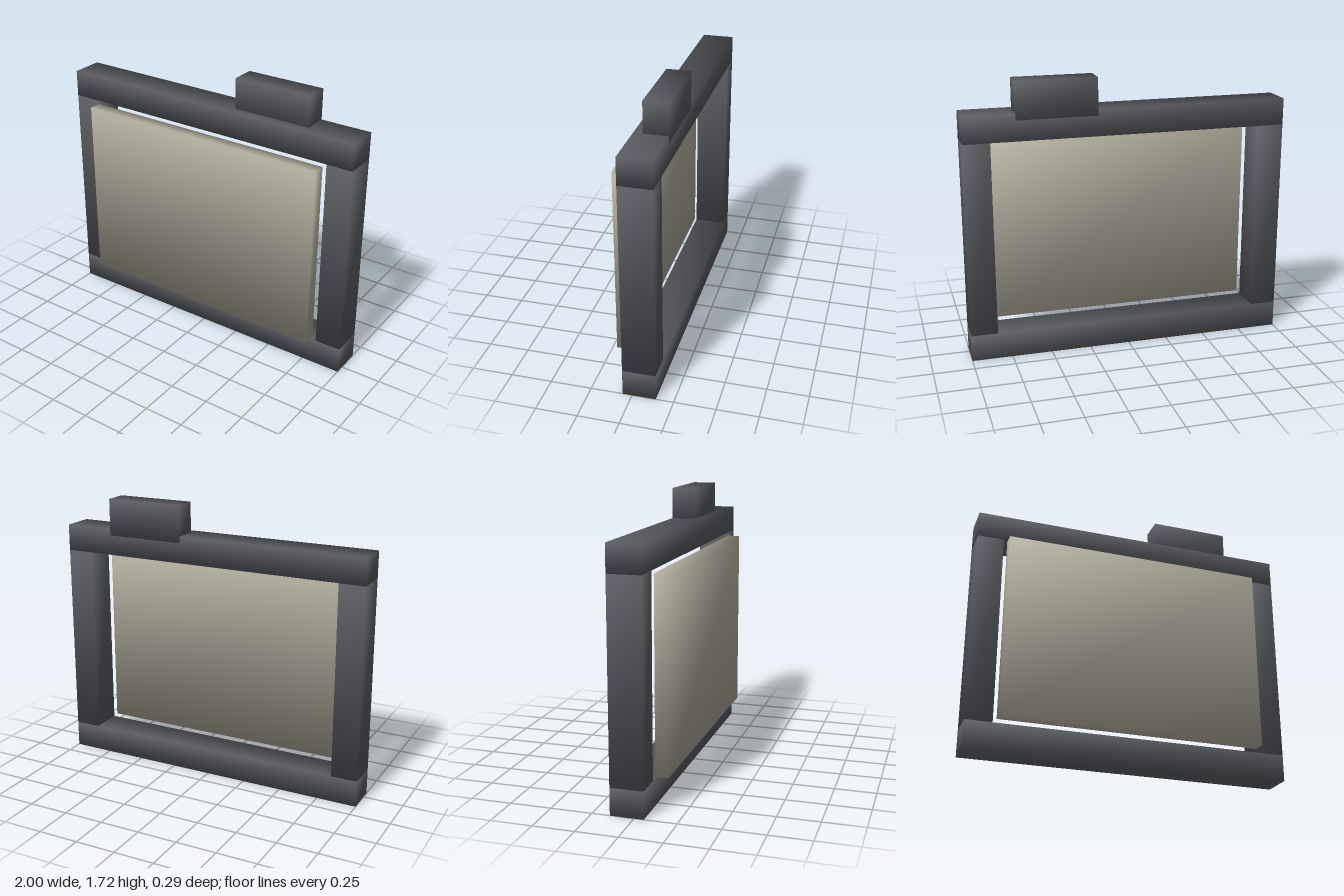
import * as THREE from 'three';

const frameMat = new THREE.MeshStandardMaterial({ color: 0x5c5e63 });
const panelMat = new THREE.MeshStandardMaterial({ color: 0xb5b0a0 });

// Box given by its limits on each axis, shaded smoothly across its corners
function softBox(name, [x0, x1], [y0, y1], [z0, z1], material) {
  const geometry = new THREE.BoxGeometry(x1 - x0, y1 - y0, z1 - z0);
  const { position, normal } = geometry.attributes;
  const n = new THREE.Vector3();
  for (let i = 0; i < position.count; i++) {
    n.fromBufferAttribute(position, i);
    n.set(Math.sign(n.x), Math.sign(n.y), Math.sign(n.z)).normalize();
    normal.setXYZ(i, n.x, n.y, n.z);
  }
  const mesh = new THREE.Mesh(geometry, material);
  mesh.position.set((x0 + x1) / 2, (y0 + y1) / 2, (z0 + z1) / 2);
  mesh.name = name;
  return mesh;
}

export function createModel() {
  const model = new THREE.Group();
  model.name = 'framedPanel';
  const depth = [-0.143, 0.057];

  // Frame: two full-width rails with a post between them on each side
  const frame = new THREE.Group();
  frame.name = 'frame';
  frame.add(
    softBox('bottomRail', [-1, 1], [0, 0.165], depth, frameMat),
    softBox('topRail', [-1, 1], [1.365, 1.53], depth, frameMat),
    softBox('leftPost', [0.837, 1], [0.165, 1.365], depth, frameMat),
    softBox('rightPost', [-1, -0.837], [0.165, 1.365], depth, frameMat)
  );

  // Thin panel in front of the opening
  const panel = softBox('panel', [-0.817, 0.817], [0.185, 1.347], [0.064, 0.143], panelMat);

  // Block set into the back of the top rail
  const block = softBox('topBlock', [0.19, 0.685], [1.49, 1.72], [-0.1435, 0.003], frameMat);

  model.add(frame, panel, block);
  return model;
}
